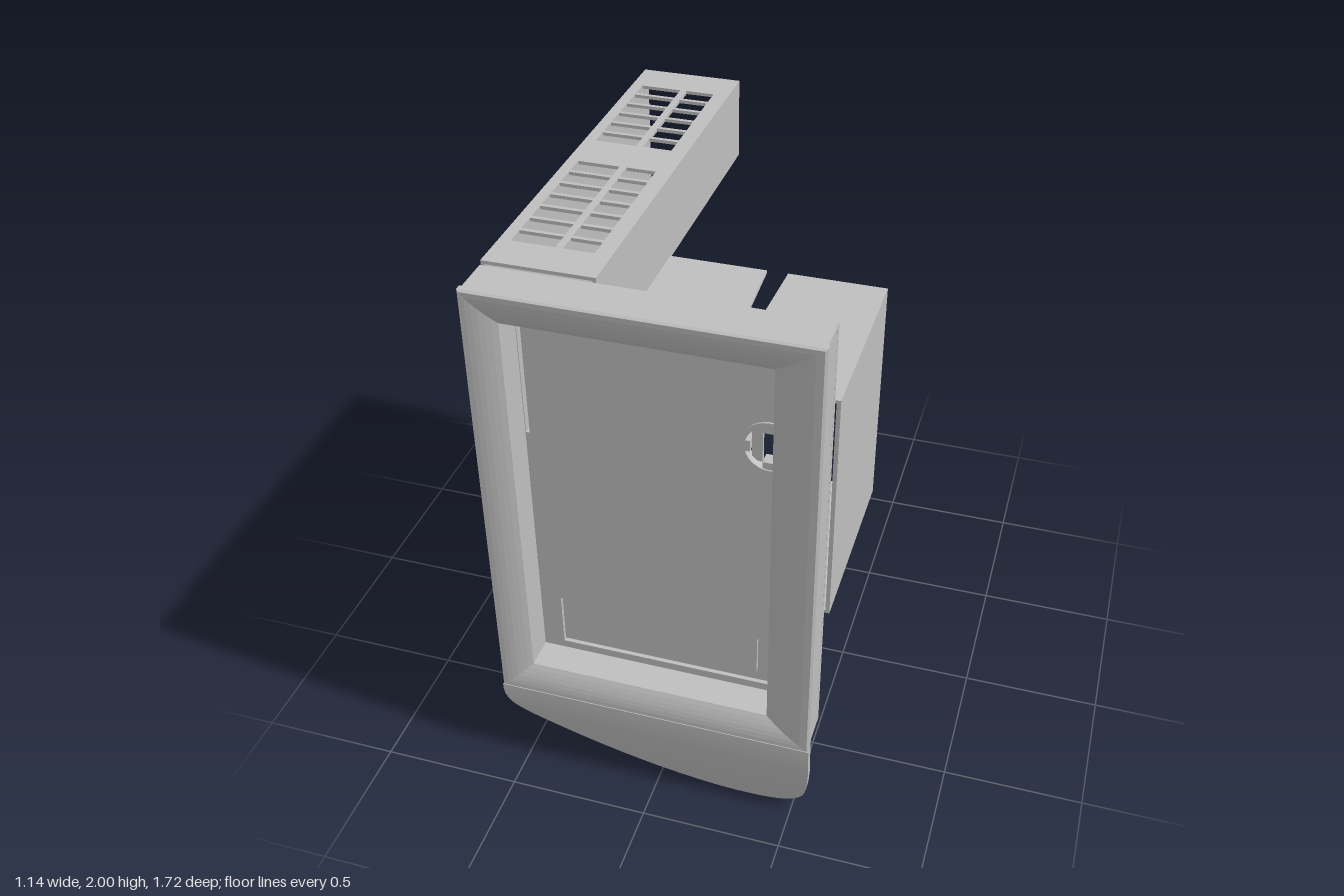
import * as THREE from 'three';

const shell = new THREE.MeshStandardMaterial({ color: 0xbfbfbf });
shell.name = 'shell grey';

const rect = (x0, x1, y0, y1) => [[x0, y0], [x1, y0], [x1, y1], [x0, y1]];
const toPoints = (list) => list.map(([x, y]) => new THREE.Vector2(x, y));

function addMesh(parent, name, geometry) {
  const mesh = new THREE.Mesh(geometry, shell);
  mesh.name = name;
  parent.add(mesh);
  return mesh;
}

function addBox(parent, name, x0, x1, y0, y1, z0, z1) {
  const g = new THREE.BoxGeometry(x1 - x0, y1 - y0, z1 - z0);
  g.translate((x0 + x1) / 2, (y0 + y1) / 2, (z0 + z1) / 2);
  return addMesh(parent, name, g);
}

// Sheet from an outline with holes, extruded along +z
function sheet(outline, holes, depth) {
  const shape = new THREE.Shape(toPoints(outline));
  holes.forEach((h) => shape.holes.push(new THREE.Path(toPoints(h))));
  return new THREE.ExtrudeGeometry(shape, { depth, bevelEnabled: false, curveSegments: 12 });
}

// Horizontal sheet: outline in (x, z), top surface at y
function addFloor(parent, name, outline, holes, y, t) {
  const g = sheet(outline, holes, t);
  g.rotateX(Math.PI / 2);
  g.translate(0, y, 0);
  return addMesh(parent, name, g);
}

// Two columns of ventilation slots in two groups
function ventHoles(skipRow) {
  const holes = [];
  for (const [start, rows] of [[-0.712, 6], [-0.047, 7]]) {
    for (let r = 0; r < rows; r++) {
      if (skipRow && rows === 7 && r === 0) continue;
      const z = start + r * 0.0853;
      holes.push(rect(-0.535, -0.385, z, z + 0.07), rect(-0.36, -0.255, z, z + 0.07));
    }
  }
  return holes;
}

// Mitred frame skinned through nested rectangles [x0, x1, y0, y1, z]
function frameGeometry(rings) {
  const loops = rings.map(([x0, x1, y0, y1, z]) => rect(x0, x1, y0, y1).map(([x, y]) => [x, y, z]));
  const pos = [];
  for (let i = 0; i < loops.length - 1; i++) {
    for (let j = 0; j < 4; j++) {
      const k = (j + 1) % 4;
      const [a, b, c, d] = [loops[i][j], loops[i][k], loops[i + 1][k], loops[i + 1][j]];
      pos.push(...a, ...b, ...c, ...a, ...c, ...d);
    }
  }
  const g = new THREE.BufferGeometry();
  g.setAttribute('position', new THREE.Float32BufferAttribute(pos, 3));
  g.computeVertexNormals();
  return g;
}

// Curved lower lip: a box grid bent under the frame and trimmed to a sweeping edge
function lipGeometry() {
  const edge = new THREE.SplineCurve(toPoints([
    [-0.573, 0.33], [-0.565, 0.295], [-0.54, 0.262], [-0.48, 0.228], [-0.36, 0.18], [-0.2, 0.12],
    [0, 0.056], [0.18, 0.016], [0.32, 0.004], [0.44, 0.016], [0.515, 0.055], [0.55, 0.115], [0.562, 0.22],
  ]));
  const top = 0.352;
  const g = new THREE.BoxGeometry(1, 1, 1, 60, 12, 1);
  const p = g.attributes.position;
  for (let i = 0; i < p.count; i++) {
    const e = edge.getPoint(THREE.MathUtils.clamp(p.getX(i) + 0.5, 0, 1));
    const y = THREE.MathUtils.lerp(e.y, top, p.getY(i) + 0.5);
    const drop = (top - y) / top;
    p.setXYZ(i, e.x, y, 0.845 - 0.06 * drop * drop + p.getZ(i) * 0.03);
  }
  g.computeVertexNormals();
  return g;
}

export function createModel() {
  const model = new THREE.Group();
  model.name = 'wallUnitHousing';

  // Tall vented sleeve
  const sleeve = new THREE.Group();
  sleeve.name = 'sleeve';
  model.add(sleeve);
  const [back, front, t] = [-0.86, 0.675, 0.012];
  const strip = rect(-0.575, -0.2, back, front);
  addBox(sleeve, 'sleeveSideWall', -0.575, -0.563, 0.34, 2, back, front);
  addFloor(sleeve, 'sleeveTop', strip, ventHoles(false), 2, t);
  addFloor(sleeve, 'sleeveBottom', strip, ventHoles(true), 0.34 + t, t);
  addBox(sleeve, 'upperFlange', -0.21, -0.198, 1.695, 2, back, front);
  addBox(sleeve, 'lowerFlange', -0.21, -0.198, 0.34, 0.85, back, front);

  // Side box, open at the rear and towards the sleeve
  const box = new THREE.Group();
  box.name = 'sideBox';
  model.add(box);
  const topOutline = [[-0.2, -0.01], [0.15, -0.01], [0.163, 0.3], [0.212, 0.3], [0.225, -0.01],
    [0.568, -0.01], [0.568, front], [-0.2, front]];
  addFloor(box, 'boxTop', topOutline, [rect(-0.125, 0.245, 0.4, 0.62)], 1.705, t);
  addFloor(box, 'boxBottom', rect(-0.2, 0.568, -0.01, front), [
    rect(-0.15, 0.062, 0.15, 0.535),
    [[0.12, 0.33], [0.2, 0.33], [0.2, 0.49], [0.17, 0.52], [0.12, 0.52]],
    rect(0.28, 0.48, 0.34, 0.57),
  ], 0.852, t);
  addBox(box, 'boxSideWall', 0.556, 0.57, 0.84, 1.705, -0.01, front);

  // Mounting tab under the sleeve
  const tab = sheet([[-0.55, 0.345], [-0.55, 0.2], [-0.53, 0.18], [-0.38, 0.18], [-0.33, 0.2], [-0.235, 0.3], [-0.235, 0.345]],
    [rect(-0.43, -0.405, 0.25, 0.275)], 0.025);
  tab.translate(0, 0, -0.047);
  addMesh(model, 'mountingTab', tab);

  // Front bezel: walls, rolled face and recess
  const outer = [-0.573, 0.562, 0.35, 2];
  const inner = [-0.46, 0.402, 0.455, 1.885];
  const mix = (f, z) => [...outer.map((v, i) => THREE.MathUtils.lerp(v, inner[i], f)), z];
  const rings = [mix(0.04, 0.695), mix(0.04, 0.832), mix(0, 0.832), mix(0, 0.852), mix(0.05, 0.86)];
  for (let i = 1; i <= 6; i++) rings.push(mix(0.05 + 0.95 * i / 6, 0.86 - 0.033 * (i / 6) ** 2));
  rings.push(mix(1, 0.71));
  addMesh(model, 'bezelFrame', frameGeometry(rings));
  addMesh(model, 'lowerLip', lipGeometry());

  // Recessed back panel with slots, a channel and a clipped round opening
  const clip = [0.365, 1.51];
  const arc = (r) => {
    const a = Math.acos((0.398 - clip[0]) / r);
    return Array.from({ length: 21 }, (_, i) => {
      const w = a + (2 * Math.PI - 2 * a) * i / 20;
      return [clip[0] + r * Math.cos(w), clip[1] + r * Math.sin(w)];
    });
  };
  const channel = [[-0.385, 0.485], [0.38, 0.485], [0.38, 0.69], [0.333, 0.69], [0.333, 0.533],
    [-0.338, 0.533], [-0.338, 0.69], [-0.385, 0.69]];
  const panel = sheet(rect(-0.568, 0.556, 0.355, 1.995), [
    rect(-0.325, 0.35, 1.85, 1.883), rect(-0.458, -0.445, 1.4, 1.82), channel, arc(0.083),
  ], 0.018);
  panel.translate(0, 0, 0.695);
  addMesh(model, 'bezelPanel', panel);
  const channelFloor = sheet(channel, [], 0.008);
  channelFloor.translate(0, 0, 0.69);
  addMesh(model, 'channelFloor', channelFloor);
  addBox(model, 'slotBacking', -0.33, -0.205, 1.845, 1.89, 0.678, 0.69);

  // Round clip seat and its snap hooks
  const rim = sheet(arc(0.1), [arc(0.083)], 0.04);
  rim.translate(0, 0, 0.68);
  addMesh(model, 'clipRim', rim);
  addBox(model, 'clipHook', 0.272, 0.3, 1.49, 1.53, 0.67, 0.72);
  for (const s of [-1, 1]) {
    const y = 1.51 + s * 0.072;
    addBox(model, 'clipHook', 0.34, 0.395, y - 0.016, y + 0.016, 0.67, 0.715);
  }
  addBox(model, 'clipPlate', 0.3, 0.335, 1.44, 1.58, 0.68, 0.695);

  // Small hooks joining the bezel to the sleeve
  for (const y of [0.4, 0.47, 1.88, 1.95]) {
    addBox(model, 'sleeveHook', -0.555, -0.49, y - 0.022, y + 0.022, 0.66, 0.7);
  }
  return model;
}
